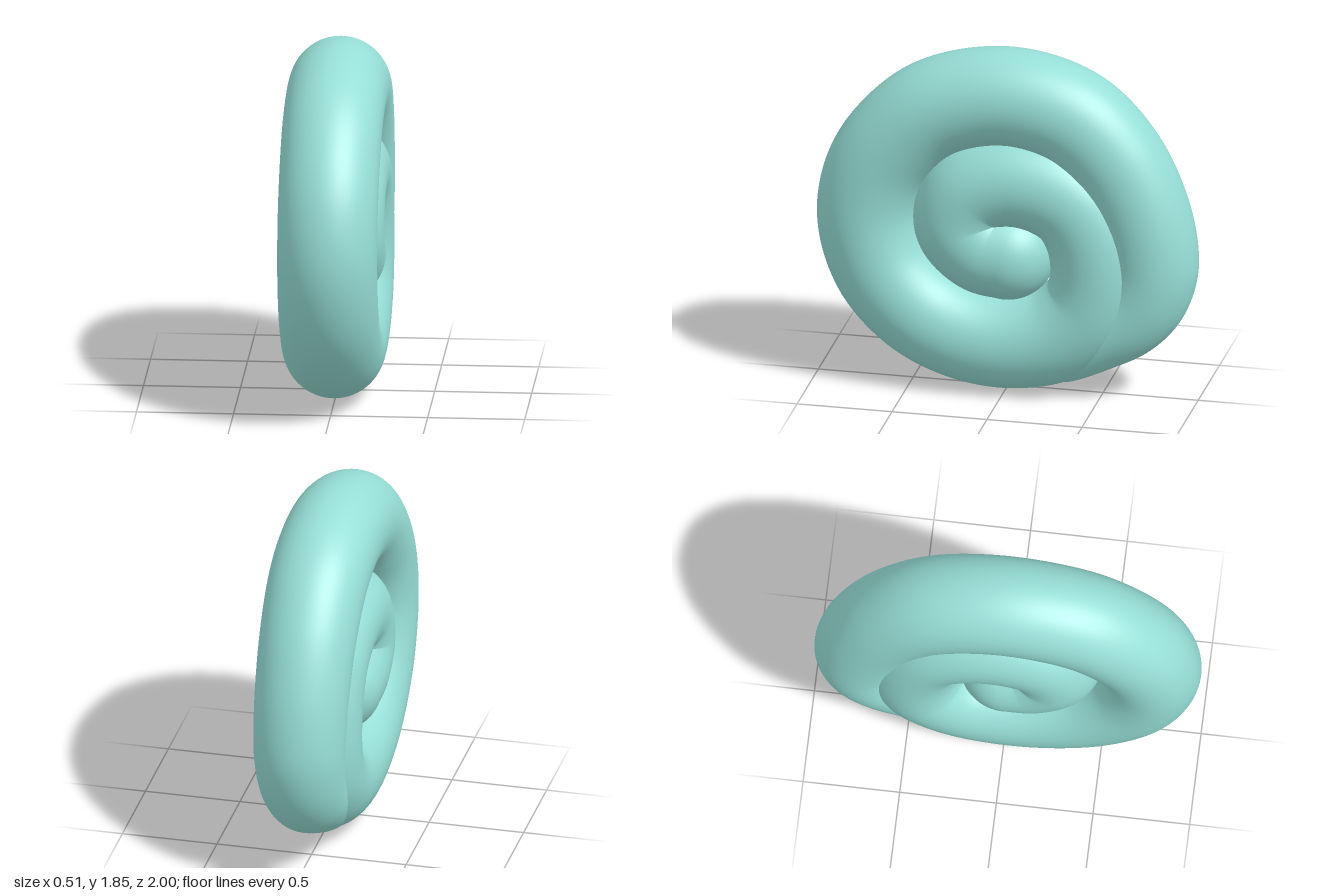
import * as THREE from 'three';

// Spiral centreline from the core to the tail: [distance to the back, height, tube radius]
const PATH = [
  [0, 0.738, 0.25], [-0.13, 0.77, 0.256], [-0.235, 0.885, 0.257], [-0.18, 1.06, 0.257],
  [0, 1.138, 0.257], [0.2, 1.12, 0.257], [0.36, 1.03, 0.257], [0.45, 0.88, 0.257],
  [0.483, 0.72, 0.257], [0.475, 0.58, 0.257], [0.43, 0.46, 0.257], [0.33, 0.36, 0.257],
  [0.2, 0.292, 0.257], [-0.02, 0.257, 0.257], [-0.25, 0.29, 0.257], [-0.47, 0.395, 0.257],
  [-0.66, 0.6, 0.257], [-0.743, 0.87, 0.257], [-0.707, 1.115, 0.257], [-0.59, 1.315, 0.257],
  [-0.37, 1.505, 0.257], [0, 1.593, 0.257], [0.34, 1.51, 0.256], [0.565, 1.3, 0.25],
  [0.71, 1.015, 0.243], [0.762, 0.76, 0.237], [0.75, 0.64, 0.231], [0.705, 0.525, 0.222],
  [0.615, 0.42, 0.211], [0.48, 0.335, 0.2], [0.34, 0.262, 0.192], [0.3, 0.245, 0.19],
];

// Sweeps a round section of varying radius along the planar curve
function sweep(curve, steps, sides) {
  const positions = [], normals = [], index = [];
  for (let i = 0; i <= steps; i++) {
    const p = curve.getPoint(i / steps);
    const t = curve.getTangent(i / steps);
    const len = Math.hypot(t.x, t.y);
    for (let j = 0; j < sides; j++) {
      const a = (j / sides) * Math.PI * 2;
      const n = [Math.sin(a), Math.cos(a) * t.x / len, Math.cos(a) * t.y / len];
      normals.push(...n);
      positions.push(n[0] * p.z, p.y + n[1] * p.z, -p.x + n[2] * p.z);
      if (i < steps) {
        const k = (j + 1) % sides;
        const r0 = i * sides, r1 = r0 + sides;
        index.push(r0 + j, r0 + k, r1 + j, r0 + k, r1 + k, r1 + j);
      }
    }
  }
  const g = new THREE.BufferGeometry();
  g.setAttribute('position', new THREE.Float32BufferAttribute(positions, 3));
  g.setAttribute('normal', new THREE.Float32BufferAttribute(normals, 3));
  g.setIndex(index);
  return g;
}

export function createModel() {
  const group = new THREE.Group();
  group.name = 'spiralRoll';
  const teal = new THREE.MeshStandardMaterial({ color: 0x96ded6 });
  teal.name = 'pale teal';

  // Coiled body
  const curve = new THREE.CatmullRomCurve3(PATH.map((p) => new THREE.Vector3(...p)));
  const coil = new THREE.Mesh(sweep(curve, 420, 64), teal);
  coil.name = 'coil';
  group.add(coil);

  // Rounded ends
  const ends = { coreEnd: PATH[0], tailEnd: PATH[PATH.length - 1] };
  for (const [name, [back, y, r]] of Object.entries(ends)) {
    const cap = new THREE.Mesh(new THREE.SphereGeometry(r, 48, 32), teal);
    cap.name = name;
    cap.position.set(0, y, -back);
    group.add(cap);
  }
  return group;
}
